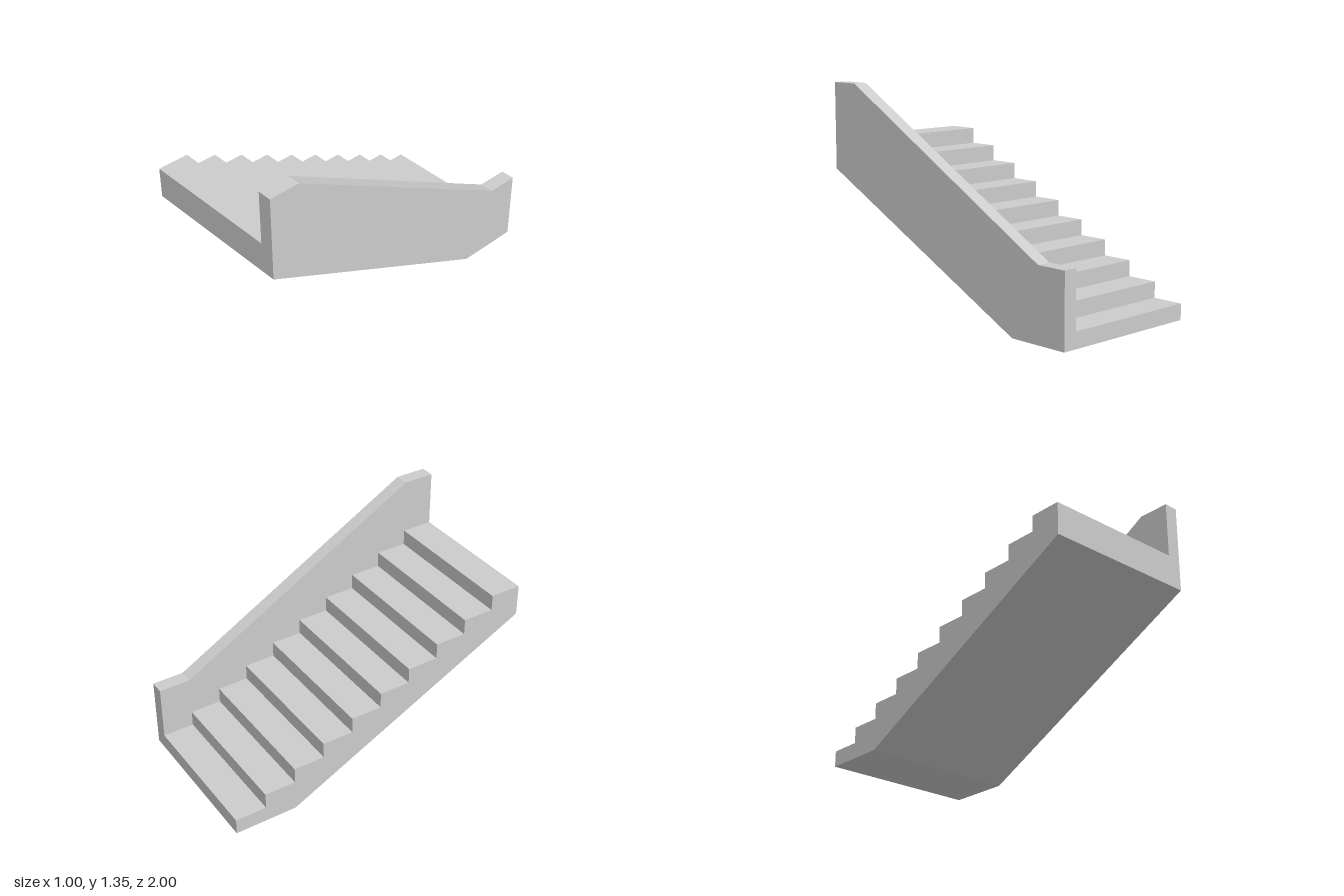
import * as THREE from 'three';

const STEPS = 10, TREAD = 0.2, RISER = 0.1;
const LEFT = 0.5, WALL_INNER = 0.41, RIGHT = -0.5;

// Extrude a side profile of [z, y] points across the width from x0 to x1
function sidePanel(name, points, x0, x1, material) {
  const shape = new THREE.Shape(points.map(([z, y]) => new THREE.Vector2(-z, y)));
  const geometry = new THREE.ExtrudeGeometry(shape, { depth: x1 - x0, bevelEnabled: false });
  geometry.rotateY(Math.PI / 2).translate(x0, 0, 0);
  const mesh = new THREE.Mesh(geometry, material);
  mesh.name = name;
  return mesh;
}

export function createModel() {
  const group = new THREE.Group();
  group.name = 'staircase';
  const material = new THREE.MeshStandardMaterial({ color: 0xcccccc, flatShading: true });

  // Sloping underside shared by the flight and the wall
  const underside = [[1, 0.8], [-0.6, 0], [-1, 0]];

  // Flight of steps rising from the back to the front
  const flight = [...underside];
  for (let i = 0; i < STEPS; i++) {
    const z = -1 + i * TREAD, y = (i + 1) * RISER;
    flight.push([z, y], [z + TREAD, y]);
  }
  group.add(sidePanel('steps', flight, RIGHT, WALL_INNER, material));

  // Solid balustrade with a level cap at each end
  const wall = [...underside, [-1, 0.45], [-0.8, 0.45], [0.8, 1.35], [1, 1.35]];
  group.add(sidePanel('sideWall', wall, WALL_INNER, LEFT, material));

  return group;
}
